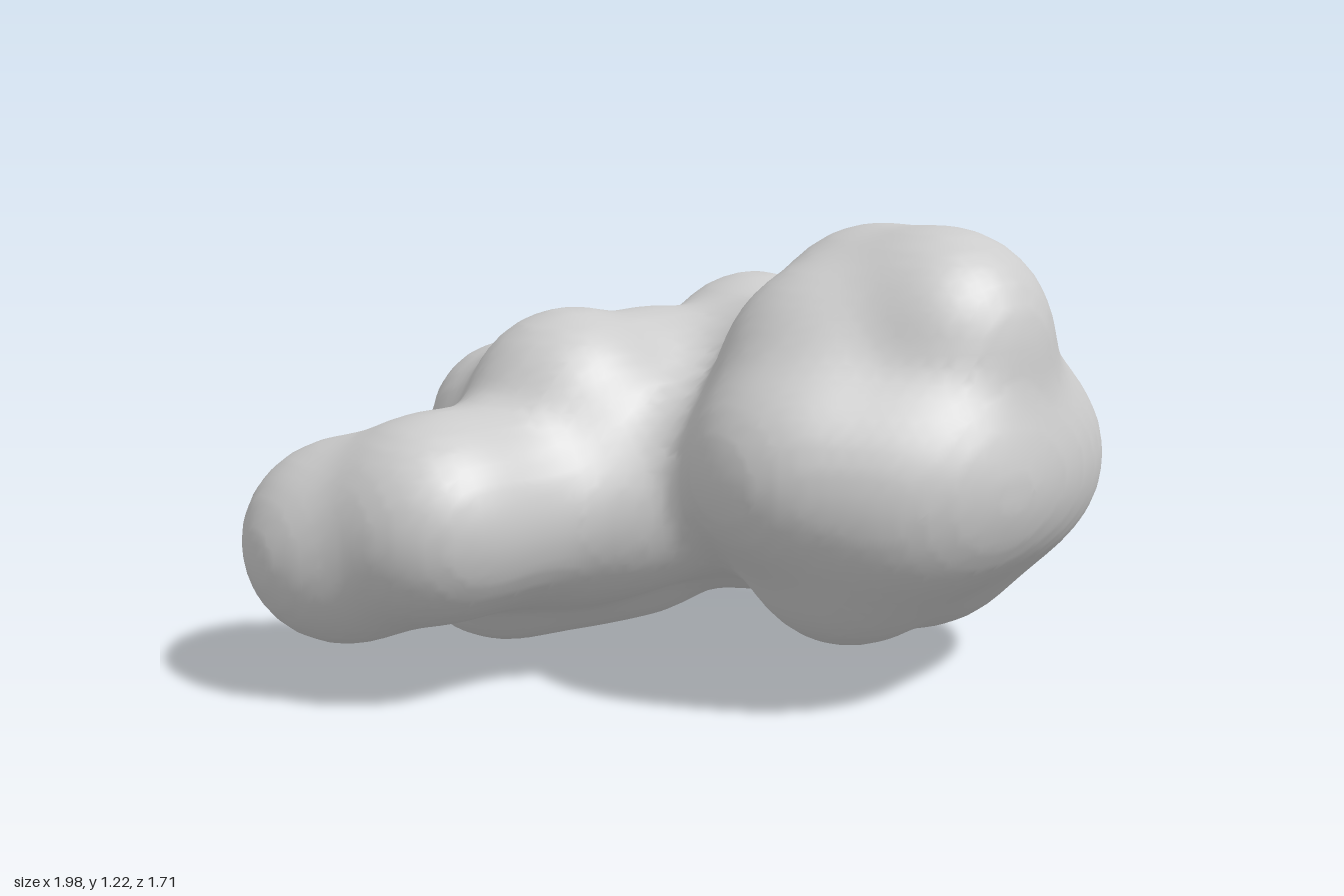
import * as THREE from 'three';

// Lobes: x, y, z, radius
const FRONT_LOBES = [
  [0.45, 0.95, 0.50, 0.27], [0.48, 0.94, 0.23, 0.26], [0.24, 0.86, 0.30, 0.255],
  [0.08, 0.65, 0.37, 0.265], [0.35, 0.63, 0.565, 0.28], [0.72, 0.60, 0.45, 0.27],
  [0.55, 0.40, 0.36, 0.25], [0.25, 0.41, 0.38, 0.25], [0.47, 0.40, 0.13, 0.25],
  [0.42, 0.65, 0.30, 0.30],
  // fuller flanks between the outer lobes
  [0.22, 0.60, 0.53, 0.25], [0.55, 0.62, 0.53, 0.26], [0.61, 0.75, 0.40, 0.24],
  [0.63, 0.55, 0.22, 0.25],
];
const NECK_LOBES = [
  [0.54, 0.58, 0.03, 0.23], [0.38, 0.73, -0.08, 0.23], [0.10, 0.55, 0.00, 0.23],
  [0.30, 0.42, -0.10, 0.22], [-0.09, 0.48, -0.09, 0.21],
];
const REAR_LOBES = [
  [0.55, 0.75, -0.34, 0.26], [0.17, 0.70, -0.33, 0.24], [-0.13, 0.71, -0.30, 0.265],
  [0.16, 0.33, -0.37, 0.25], [0.00, 0.31, -0.46, 0.25], [0.32, 0.53, -0.28, 0.23],
  [-0.18, 0.285, -0.58, 0.275], [-0.10, 0.61, -0.63, 0.225], [-0.17, 0.45, -0.24, 0.24],
  [-0.38, 0.50, -0.22, 0.22], [-0.41, 0.43, -0.37, 0.21],
  [-0.60, 0.50, -0.23, 0.26], [-0.725, 0.405, -0.475, 0.265],
];
const BLEND = 0.05;

// Smooth union of all lobes as a signed distance
function blobField(lobes) {
  return (x, y, z) => {
    let sum = 0;
    for (const [cx, cy, cz, r] of lobes) {
      sum += Math.exp(-(Math.hypot(x - cx, y - cy, z - cz) - r) / BLEND);
    }
    return -BLEND * Math.log(sum);
  };
}

// Mesh the zero surface of a field: one vertex per crossed cell, one quad per crossed edge
function surfaceNet(field, min, size, step) {
  const [nx, ny, nz] = size.map((s) => Math.ceil(s / step) + 1);
  const id = (i, j, k) => i + nx * (j + ny * k);
  const values = new Float32Array(nx * ny * nz);
  for (let k = 0; k < nz; k++) for (let j = 0; j < ny; j++) for (let i = 0; i < nx; i++) {
    values[id(i, j, k)] = field(min[0] + i * step, min[1] + j * step, min[2] + k * step);
  }

  const cellVertex = new Int32Array(values.length).fill(-1);
  const positions = [], indices = [];
  for (let k = 0; k < nz - 1; k++) for (let j = 0; j < ny - 1; j++) for (let i = 0; i < nx - 1; i++) {
    const p = [0, 0, 0];
    let hits = 0;
    for (let a = 0; a < 8; a++) for (let axis = 0; axis < 3; axis++) {
      if (a & (1 << axis)) continue;
      const b = a | (1 << axis);
      const va = values[id(i + (a & 1), j + ((a >> 1) & 1), k + (a >> 2))];
      const vb = values[id(i + (b & 1), j + ((b >> 1) & 1), k + (b >> 2))];
      if ((va < 0) === (vb < 0)) continue;
      for (let c = 0; c < 3; c++) p[c] += ((a >> c) & 1) + (c === axis ? va / (va - vb) : 0);
      hits++;
    }
    if (!hits) continue;
    cellVertex[id(i, j, k)] = positions.length / 3;
    [i, j, k].forEach((n, c) => positions.push(min[c] + (n + p[c] / hits) * step));
  }

  const stride = [1, nx, nx * ny];
  for (let k = 1; k < nz - 1; k++) for (let j = 1; j < ny - 1; j++) for (let i = 1; i < nx - 1; i++) {
    const here = id(i, j, k);
    for (let axis = 0; axis < 3; axis++) {
      const inside = values[here] < 0;
      if (inside === values[here + stride[axis]] < 0) continue;
      const u = stride[(axis + 1) % 3], v = stride[(axis + 2) % 3];
      const [a, b, c, d] = [here - u - v, here - v, here, here - u].map((n) => cellVertex[n]);
      if (inside) indices.push(a, b, c, a, c, d);
      else indices.push(a, c, b, a, d, c);
    }
  }

  const geometry = new THREE.BufferGeometry();
  geometry.setAttribute('position', new THREE.Float32BufferAttribute(positions, 3));
  geometry.setIndex(indices);
  geometry.computeVertexNormals();
  return geometry;
}

export function createModel() {
  const group = new THREE.Group();
  group.name = 'lobedBlob';

  // Rounded lobes melted into one continuous skin
  const field = blobField([...FRONT_LOBES, ...NECK_LOBES, ...REAR_LOBES]);
  const geometry = surfaceNet(field, [-1.15, -0.15, -1.05], [2.3, 1.55, 2.1], 0.034);
  const skin = new THREE.Mesh(geometry, new THREE.MeshStandardMaterial({ color: 0xcccccc }));
  skin.name = 'lobedSkin';
  group.add(skin);
  return group;
}
